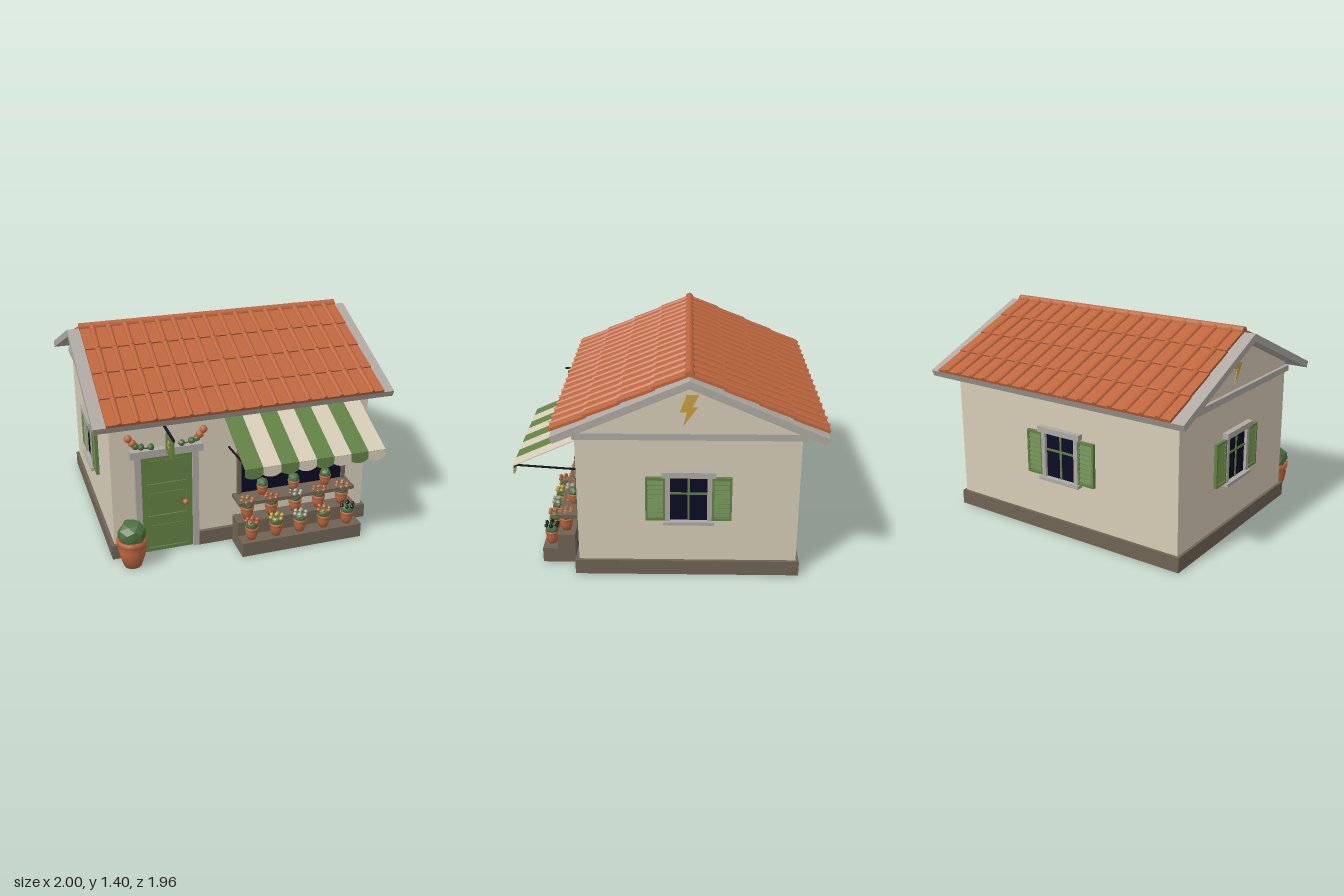
import * as THREE from 'three';
import { mergeGeometries } from 'three/addons/utils/BufferGeometryUtils.js';

const colours = {
  plaster: 0xd6ccb6, trim: 0xaeaaa3, stone: 0x6f6454, terracotta: 0xbf673e, paintGreen: 0x618243,
  foliage: 0x4d7040, glass: 0x0b0b26, gold: 0xc8a03f, iron: 0x17161a, blossom: 0xc4552f,
};
const M = {};
for (const [name, color] of Object.entries(colours)) {
  M[name] = new THREE.MeshStandardMaterial({ color });
  M[name].name = name;
}

function add(parent, name, geo, mat, x = 0, y = 0, z = 0) {
  const m = new THREE.Mesh(geo, mat);
  m.name = name;
  m.position.set(x, y, z);
  parent.add(m);
  return m;
}
// Box given by its limits on each axis
function box(parent, name, mat, x0, x1, y0, y1, z0, z1) {
  return add(parent, name, new THREE.BoxGeometry(x1 - x0, y1 - y0, z1 - z0), mat,
    (x0 + x1) / 2, (y0 + y1) / 2, (z0 + z1) / 2);
}
function group(parent, name, x = 0, y = 0, z = 0) {
  const g = new THREE.Group();
  g.name = name;
  g.position.set(x, y, z);
  parent.add(g);
  return g;
}
const shapeOf = pts => new THREE.Shape(pts.map(p => new THREE.Vector2(...p)));
const extrude = (shape, depth) => new THREE.ExtrudeGeometry(shape, { depth, bevelEnabled: false, curveSegments: 6 });

let seed = 7;
const rand = () => (seed = (seed * 16807) % 2147483647) / 2147483647;

// Faceted, slightly uneven clump of leaves
function clump(r, detail = 1) {
  const g = new THREE.IcosahedronGeometry(r, detail), p = g.attributes.position;
  const phase = rand() * 6;
  for (let i = 0; i < p.count; i++) {
    const k = 1 + 0.13 * Math.sin(p.getX(i) / r * 4 + phase) * Math.cos(p.getZ(i) / r * 4 + p.getY(i) / r * 3);
    p.setXYZ(i, p.getX(i) * k, p.getY(i) * k, p.getZ(i) * k);
  }
  g.computeVertexNormals();
  return g;
}

const BOLT = [[-0.015, 0.1], [0.058, 0.1], [0.02, 0.022], [0.053, 0.022], [-0.036, -0.103], [-0.015, -0.01], [-0.057, -0.01]];
function bolt(parent, scale) {
  return add(parent, 'boltOrnament', extrude(shapeOf(BOLT.map(([x, y]) => [x * scale, y * scale])), 0.006), M.gold);
}

const RIDGE_Z = -0.125, RIDGE_Y = 1.36, PITCH = Math.atan2(0.36, 0.835), SLOPE = 0.909;

// One roof slope: slab, stepped tile courses and cover ribs
function roofSlope(parent, name, turn) {
  const pivot = group(parent, name, 0, RIDGE_Y, RIDGE_Z);
  pivot.rotation.y = turn;
  const s = group(pivot, 'slope');
  s.rotation.x = PITCH;
  box(s, 'roofSlab', M.trim, -1, 1, -0.045, 0, 0, SLOPE);
  const parts = [], row = SLOPE / 4, tilt = -0.04;
  for (let r = 0; r < 4; r++) {
    const z = (r + 0.5) * row;
    const pan = new THREE.BoxGeometry(1.84, 0.018, row + 0.012);
    pan.rotateX(tilt);
    parts.push(pan.translate(0, 0.011, z));
    for (let i = 0; i < 16; i++) {
      const rib = new THREE.CylinderGeometry(0.015, 0.021, row + 0.015, 8);
      rib.rotateX(Math.PI / 2 + tilt);
      parts.push(rib.translate(-0.837 + i * 0.1115, 0.019, z));
    }
  }
  add(s, 'roofTiles', mergeGeometries(parts), M.terracotta);
}

// Shuttered window facing +z, with its origin at the wall
function shutteredWindow(parent, x, y, z, turn) {
  const w = group(parent, 'window', x, y, z);
  w.rotation.y = turn;
  box(w, 'windowGlass', M.glass, -0.118, 0.118, -0.15, 0.155, -0.01, 0.006);
  box(w, 'glazingBar', M.paintGreen, -0.007, 0.007, -0.15, 0.155, 0, 0.012);
  box(w, 'glazingBar', M.paintGreen, -0.118, 0.118, 0.03, 0.044, 0, 0.012);
  box(w, 'lintel', M.trim, -0.168, 0.168, 0.155, 0.193, 0, 0.04);
  box(w, 'sill', M.trim, -0.16, 0.16, -0.172, -0.15, 0, 0.042);
  for (const s of [-1, 1]) {
    add(w, 'jamb', new THREE.BoxGeometry(0.03, 0.31, 0.026), M.trim, s * 0.131, 0, 0.013);
    const sh = group(w, 'shutter', s * 0.208, 0, 0);
    box(sh, 'shutterBack', M.paintGreen, -0.0625, 0.0625, -0.148, 0.148, 0, 0.01);
    for (const e of [-1, 1]) {
      add(sh, 'shutterStile', new THREE.BoxGeometry(0.014, 0.296, 0.022), M.paintGreen, e * 0.0555, 0, 0.011);
      add(sh, 'shutterRail', new THREE.BoxGeometry(0.1, 0.016, 0.022), M.paintGreen, 0, e * 0.14, 0.011);
    }
    for (let i = 0; i < 8; i++)
      add(sh, 'shutterSlat', new THREE.BoxGeometry(0.1, 0.026, 0.006), M.paintGreen, 0, -0.112 + i * 0.032, 0.014).rotation.x = -0.4;
  }
}

// Clay pot with a bush and optional flowers, sized by its rim radius
function pottedPlant(parent, name, x, y, z, r, h, flower) {
  const g = group(parent, name, x, y, z);
  const profile = [[0, 0], [0.58, 0], [0.82, 0.35], [0.92, 0.65], [0.84, 0.8], [1, 0.84], [1, 1], [0.82, 1], [0.78, 0.9], [0, 0.9]];
  add(g, 'pot', new THREE.LatheGeometry(profile.map(([a, b]) => new THREE.Vector2(a * r, b * h)), 14), M.terracotta);
  add(g, 'bush', clump(r * 0.92), M.foliage, 0, h + r * 0.3, 0);
  if (!flower) return g;
  for (let i = 0; i < 7; i++) {
    const a = i * 1.047, d = i === 6 ? 0 : r * 0.85;
    add(g, 'flower', new THREE.IcosahedronGeometry(r * 0.32, 0), flower,
      Math.cos(a) * d, h + r * (i === 6 ? 1.3 : 0.85 + 0.3 * rand()), Math.sin(a) * d);
  }
  return g;
}

function door(parent) {
  const d = group(parent, 'door', -0.525, 0, 0.575);
  box(d, 'doorBack', M.paintGreen, -0.17, 0.17, 0.005, 0.715, -0.01, 0.004);
  const leaf = shapeOf([[-0.17, 0.005], [0.17, 0.005], [0.17, 0.715], [-0.17, 0.715]]);
  for (const [y0, y1] of [[0.03, 0.21], [0.27, 0.45], [0.505, 0.685]]) {
    leaf.holes.push(new THREE.Path([[-0.13, y0], [-0.13, y1], [0.13, y1], [0.13, y0]].map(p => new THREE.Vector2(...p))));
    box(d, 'doorPanel', M.paintGreen, -0.115, 0.115, y0 + 0.015, y1 - 0.015, 0, 0.009);
  }
  add(d, 'doorLeaf', extrude(leaf, 0.014), M.paintGreen);
  add(d, 'doorKnob', new THREE.SphereGeometry(0.02, 12, 8), M.terracotta, 0.12, 0.35, 0.028);
  box(d, 'doorLintel', M.trim, -0.24, 0.24, 0.715, 0.765, -0.01, 0.045);
  for (const s of [-1, 1]) {
    add(d, 'doorJamb', new THREE.BoxGeometry(0.04, 0.705, 0.04), M.trim, s * 0.19, 0.36, 0.012);
    // Flower spray above the lintel
    const path = new THREE.CatmullRomCurve3([[0.09, 0.77], [0.17, 0.785], [0.22, 0.82], [0.245, 0.855]]
      .map(([x, y]) => new THREE.Vector3(s * x, y, 0.02)));
    add(d, 'sprayStem', new THREE.TubeGeometry(path, 8, 0.005, 5), M.foliage);
    for (const [x, y] of [[0.1, 0.782], [0.165, 0.79], [0.2, 0.8]])
      add(d, 'sprayLeaf', clump(0.022), M.foliage, s * x, y, 0.025);
    for (const [x, y] of [[0.245, 0.857], [0.22, 0.825]])
      add(d, 'sprayBlossom', new THREE.IcosahedronGeometry(0.026, 1), M.terracotta, s * x, y, 0.025);
  }
}

function awning(parent) {
  const a = group(parent, 'awning', -0.13, 0.905, 0.573);
  const w = 0.1188, drop = 0.18, out = 0.402, len = Math.hypot(drop, out);
  const valance = shapeOf([[0, 0], [0, -0.05]]);
  valance.quadraticCurveTo(w / 2, -0.092, w, -0.05);
  valance.lineTo(w, 0);
  for (let i = 0; i < 8; i++) {
    const mat = i % 2 ? M.plaster : M.paintGreen;
    add(a, 'awningStripe', new THREE.BoxGeometry(w, 0.006, len), mat, (i + 0.5) * w, -drop / 2, out / 2)
      .rotation.x = Math.atan2(drop, out);
    add(a, 'awningValance', extrude(valance, 0.004), mat, i * w, -drop, out - 0.003);
  }
  for (const x of [0.03, 8 * w - 0.03])
    add(a, 'awningArm', new THREE.BoxGeometry(0.01, 0.01, 0.402), M.iron, x, -0.2, 0.2).rotation.x = -0.07;
  box(a, 'awningBar', M.iron, 0.01, 8 * w - 0.01, -0.194, -0.184, 0.388, 0.398);
}

function hangingSign(parent) {
  const g = group(parent, 'hangingSign', -0.53, 0, 0);
  box(g, 'signPole', M.iron, -0.007, 0.007, 0.898, 0.912, 0.57, 0.815);
  for (const z of [0.655, 0.77]) box(g, 'signHook', M.iron, -0.003, 0.003, 0.88, 0.9, z - 0.003, z + 0.003);
  box(g, 'signBoard', M.paintGreen, -0.007, 0.007, 0.755, 0.885, 0.63, 0.795);
  for (const s of [-1, 1]) {
    const b = bolt(g, 0.42);
    b.position.set(s * 0.006, 0.82, 0.7125);
    b.rotation.y = s * Math.PI / 2;
  }
}

export function createModel() {
  const house = new THREE.Group();
  house.name = 'flowerShop';

  // Walls with gables, extruded across the width
  const section = shapeOf([[-0.575, 0.02], [0.815, 0.02], [0.815, 1.012], [0.125, 1.312], [-0.575, 1.008]]);
  add(house, 'walls', extrude(section, 1.77).rotateY(Math.PI / 2), M.plaster, -0.885);
  box(house, 'plinth', M.stone, -0.905, 0.905, 0, 0.1, -0.835, 0.572);
  box(house, 'plinthFront', M.stone, -0.905, -0.73, 0, 0.1, 0.57, 0.6);
  box(house, 'plinthFront', M.stone, -0.32, 0.905, 0, 0.1, 0.57, 0.6);

  // Gable cornices and ornaments
  for (const s of [-1, 1]) {
    add(house, 'cornice', new THREE.BoxGeometry(0.03, 0.042, 1.43), M.trim, s * 0.893, 0.967, -0.125);
    const b = bolt(house, 1);
    b.position.set(s * 0.884, 1.133, RIDGE_Z);
    b.rotation.y = s * Math.PI / 2;
  }

  // Roof
  roofSlope(house, 'frontRoof', 0);
  roofSlope(house, 'backRoof', Math.PI);
  add(house, 'ridgeCap', new THREE.CylinderGeometry(0.031, 0.031, 1.845, 8).rotateZ(Math.PI / 2), M.terracotta, 0, 1.365, RIDGE_Z);

  // Windows on the sides and back
  shutteredWindow(house, 0.885, 0.543, RIDGE_Z, Math.PI / 2);
  shutteredWindow(house, -0.885, 0.543, RIDGE_Z, -Math.PI / 2);
  shutteredWindow(house, 0, 0.543, -0.815, Math.PI);

  door(house);
  hangingSign(house);
  awning(house);

  // Shop window and display shelf
  box(house, 'shopGlass', M.glass, -0.02, 0.715, 0.33, 0.74, 0.565, 0.582);
  box(house, 'shopFrameTop', M.stone, -0.045, 0.735, 0.73, 0.755, 0.57, 0.6);
  for (const x of [-0.033, 0.723]) box(house, 'shopFrameSide', M.stone, x - 0.013, x + 0.013, 0.33, 0.74, 0.57, 0.6);
  box(house, 'shelf', M.stone, -0.075, 0.75, 0.315, 0.34, 0.57, 0.72);
  box(house, 'lowerStep', M.stone, -0.085, 0.765, 0, 0.1, 0.615, 0.83);
  box(house, 'upperStep', M.stone, -0.085, 0.765, 0.1, 0.2, 0.615, 0.73);

  // Potted plants
  pottedPlant(house, 'largePlant', -0.79, 0, 0.69, 0.1, 0.2);
  for (const x of [0.115, 0.34, 0.57]) pottedPlant(house, 'shelfPlant', x, 0.34, 0.635, 0.04, 0.07);
  const upper = [M.terracotta, M.blossom, M.trim, M.blossom, M.terracotta];
  const lower = [M.blossom, M.gold, M.trim, M.terracotta, M.iron];
  for (let i = 0; i < 5; i++) {
    const x = -0.005 + i * 0.171;
    pottedPlant(house, 'upperStepPlant', x, 0.2, 0.678, 0.046, 0.09, upper[i]);
    pottedPlant(house, 'lowerStepPlant', x, 0.1, 0.777, 0.046, 0.09, lower[i]);
  }
  return house;
}
